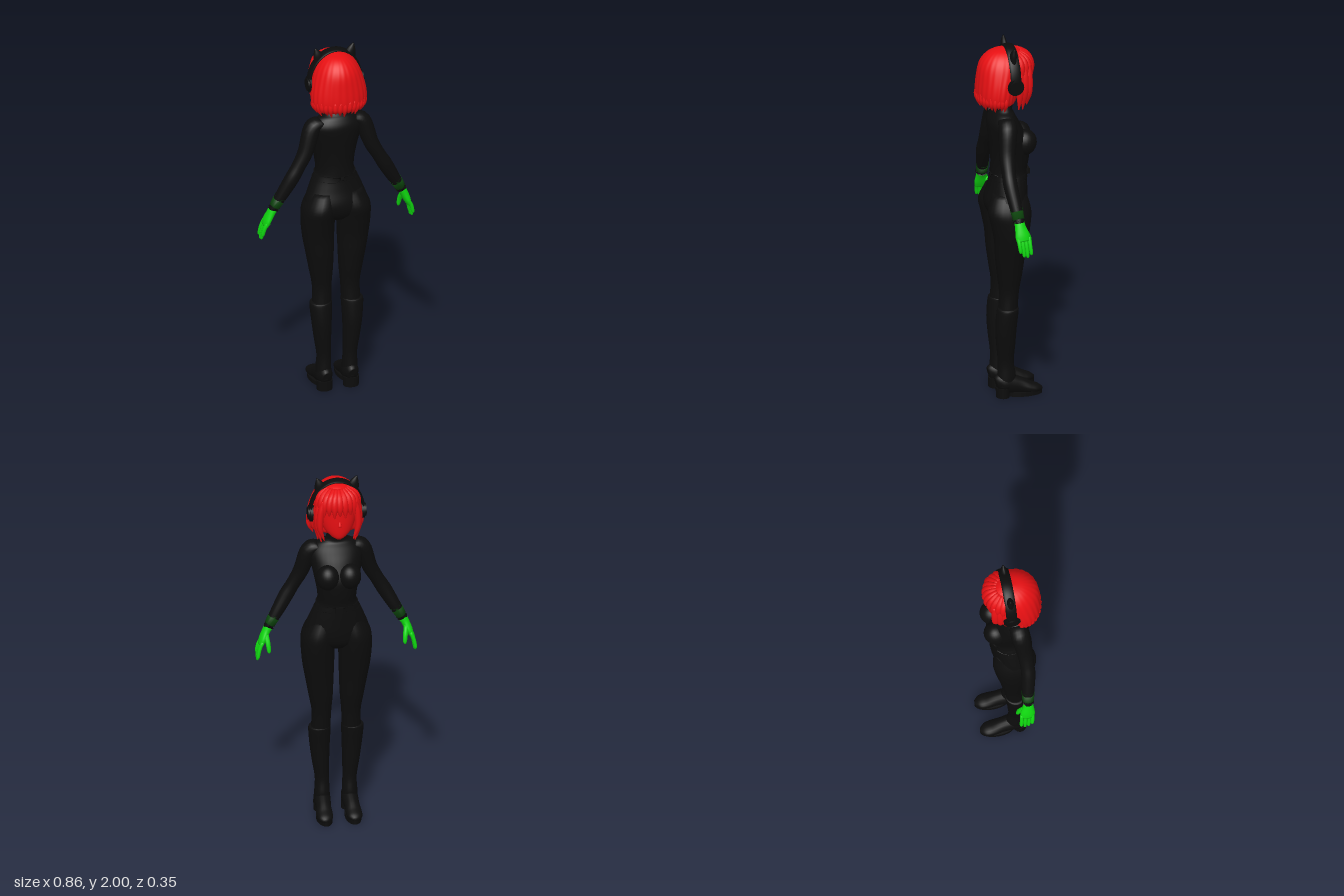
import * as THREE from 'three';

const mat = (name, color) => Object.assign(new THREE.MeshStandardMaterial({ color }), { name });

// Smooth closed skin through stations [x, y, z, radiusU, radiusV].
// ref is the direction of radiusV; flat keeps every ring horizontal; wave(angle, t) scales the ring.
function loft(stations, { seg = 20, steps = 5, ref = [0, 0, 1], flat = false, wave = () => 1 } = {}) {
  const curve = (f) => new THREE.CatmullRomCurve3(stations.map(f), false, 'catmullrom', 0.5);
  const centre = curve((s) => new THREE.Vector3(s[0], s[1], s[2]));
  const radius = curve((s) => new THREE.Vector3(s[3], s[4], 0));
  const rings = (stations.length - 1) * steps;
  const pos = [], idx = [];
  for (let i = 0; i <= rings; i++) {
    const t = i / rings;
    const c = centre.getPoint(t), r = radius.getPoint(t), tan = centre.getTangent(t);
    if (flat) tan.set(0, Math.sign(tan.y), 0);
    const v = new THREE.Vector3(...ref);
    v.addScaledVector(tan, -v.dot(tan)).normalize();
    const u = v.clone().cross(tan);
    for (let j = 0; j < seg; j++) {
      const a = (j / seg) * Math.PI * 2, w = wave(a, t);
      const p = c.clone()
        .addScaledVector(u, Math.cos(a) * w * Math.max(r.x, 0.001))
        .addScaledVector(v, Math.sin(a) * w * Math.max(r.y, 0.001));
      pos.push(p.x, p.y, p.z);
    }
  }
  for (let i = 0; i < rings; i++) {
    for (let j = 0; j < seg; j++) {
      const k = (j + 1) % seg, a = i * seg, b = a + seg;
      idx.push(a + j, a + k, b + k, a + j, b + k, b + j);
    }
  }
  // end caps
  const first = pos.length / 3, last = rings * seg;
  pos.push(...stations[0].slice(0, 3), ...stations.at(-1).slice(0, 3));
  for (let j = 0; j < seg; j++) {
    const k = (j + 1) % seg;
    idx.push(first, k, j, first + 1, last + j, last + k);
  }
  const g = new THREE.BufferGeometry();
  g.setAttribute('position', new THREE.Float32BufferAttribute(pos, 3));
  g.setIndex(idx);
  g.computeVertexNormals();
  return g;
}

export function createModel() {
  const black = mat('black suit', 0x0c0c0c);
  const red = mat('red', 0xe60f12);
  const green = mat('glove green', 0x0fd60f);
  const darkGreen = mat('cuff green', 0x0b420b);

  const model = new THREE.Group();
  model.name = 'figure';
  const add = (name, geometry, material, parent = model) => {
    const m = new THREE.Mesh(geometry, material);
    m.name = name;
    parent.add(m);
    return m;
  };
  const group = (name) => {
    const g = new THREE.Group();
    g.name = name;
    model.add(g);
    return g;
  };

  // Torso from crotch to neck
  add('torso', loft([
    [0, 1.0, 0.005, 0.09, 0.06], [0, 1.04, 0.008, 0.155, 0.098], [0, 1.1, 0.01, 0.172, 0.112],
    [0, 1.18, 0, 0.146, 0.104], [0, 1.24, -0.006, 0.12, 0.098], [0, 1.28, -0.008, 0.104, 0.097],
    [0, 1.34, -0.014, 0.107, 0.102], [0, 1.42, -0.012, 0.122, 0.106], [0, 1.5, 0.008, 0.137, 0.095],
    [0, 1.56, 0.024, 0.14, 0.08], [0, 1.605, 0.025, 0.105, 0.058], [0, 1.635, 0.016, 0.056, 0.042],
    [0, 1.73, -0.005, 0.046, 0.044],
  ], { flat: true, seg: 32 }), black);
  add('belt', loft([[0, 1.235, -0.006, 0.124, 0.101], [0, 1.265, -0.007, 0.113, 0.101]],
    { flat: true, seg: 32, steps: 1 }), black);
  add('buckle', new THREE.BoxGeometry(0.04, 0.032, 0.02), black).position.set(0, 1.255, -0.11);

  for (const s of [1, -1]) {
    const side = s > 0 ? 'left' : 'right';
    const mirror = (pts) => pts.map(([x, ...rest]) => [s * x, ...rest]);

    // Chest
    const chest = add(side + 'Chest', new THREE.SphereGeometry(1, 24, 16), black);
    chest.scale.set(0.062, 0.072, 0.065);
    chest.position.set(s * 0.058, 1.44, -0.08);
    chest.rotation.x = -0.25;

    // Leg, boot and foot
    const leg = group(side + 'Leg');
    add('thigh', loft(mirror([
      [0.072, 1.17, 0.008, 0.068, 0.09], [0.095, 1.08, 0.013, 0.088, 0.116], [0.1, 1.0, 0.008, 0.09, 0.107],
      [0.097, 0.9, 0.006, 0.085, 0.09], [0.09, 0.8, 0.01, 0.075, 0.079], [0.083, 0.7, 0.01, 0.064, 0.067],
      [0.079, 0.6, 0.012, 0.052, 0.053], [0.083, 0.48, 0.02, 0.052, 0.052],
    ]), { flat: true, seg: 24 }), black, leg);
    add('boot', loft(mirror([
      [0.083, 0.515, 0.018, 0.054, 0.053], [0.088, 0.5, 0.021, 0.06, 0.058], [0.086, 0.4, 0.03, 0.054, 0.057],
      [0.081, 0.3, 0.03, 0.046, 0.051], [0.074, 0.2, 0.028, 0.038, 0.043], [0.074, 0.12, 0.024, 0.041, 0.05],
      [0.074, 0.06, 0.03, 0.043, 0.05],
    ]), { flat: true, seg: 24 }), black, leg);
    add('foot', loft(mirror([
      [0.073, 0.07, 0.078, 0.025, 0.04], [0.073, 0.08, 0.045, 0.043, 0.055], [0.074, 0.07, 0, 0.043, 0.052],
      [0.076, 0.058, -0.05, 0.04, 0.042], [0.078, 0.042, -0.1, 0.043, 0.032], [0.079, 0.034, -0.14, 0.038, 0.023],
      [0.079, 0.028, -0.167, 0.016, 0.011],
    ]), { ref: [0, 1, 0] }), black, leg);
    const sole = add('sole', new THREE.CylinderGeometry(1, 1, 0.022, 28), black, leg);
    sole.scale.set(0.043, 1, 0.094);
    sole.position.set(s * 0.077, 0.014, -0.076);
    const heel = add('heel', new THREE.CylinderGeometry(1.05, 1, 0.055, 24), black, leg);
    heel.scale.set(0.042, 1, 0.036);
    heel.position.set(s * 0.074, 0.0275, 0.044);

    // Arm, cuff and glove
    const arm = group(side + 'Arm');
    add('sleeve', loft(mirror([
      [0.09, 1.585, 0.03, 0.025, 0.045], [0.14, 1.555, 0.035, 0.046, 0.05], [0.183, 1.43, 0.05, 0.041, 0.044],
      [0.225, 1.35, 0.055, 0.037, 0.038], [0.262, 1.285, 0.055, 0.039, 0.038], [0.31, 1.2, 0.045, 0.034, 0.034],
      [0.345, 1.14, 0.038, 0.027, 0.029], [0.363, 1.108, 0.035, 0.024, 0.026],
    ])), black, arm);
    add('cuff', loft(mirror([[0.322, 1.18, 0.042, 0.034, 0.035], [0.352, 1.128, 0.037, 0.028, 0.031]]),
      { steps: 2 }), darkGreen, arm);
    add('wristBand', loft(mirror([[0.35, 1.13, 0.037, 0.03, 0.033], [0.358, 1.116, 0.036, 0.029, 0.032]]),
      { steps: 1 }), black, arm);
    add('palm', loft(mirror([
      [0.359, 1.114, 0.035, 0.024, 0.027], [0.372, 1.09, 0.033, 0.022, 0.03],
      [0.39, 1.05, 0.027, 0.02, 0.039], [0.402, 1.02, 0.024, 0.015, 0.037],
    ])), green, arm);
    for (let i = 0; i < 4; i++) {
      const z = -0.006 + i * 0.0195, len = [0.078, 0.092, 0.087, 0.065][i];
      add('finger', loft(mirror([
        [0.396, 1.04, z, 0.01, 0.01], [0.412, 1.04 - len * 0.5, z - 0.003, 0.0105, 0.0105],
        [0.421, 1.035 - len, z - 0.007, 0.009, 0.009], [0.42, 1.027 - len, z - 0.008, 0.003, 0.003],
      ]), { seg: 10, steps: 3 }), green, arm);
    }
    add('thumb', loft(mirror([
      [0.375, 1.075, 0.012, 0.014, 0.014], [0.368, 1.035, -0.012, 0.013, 0.013],
      [0.364, 0.995, -0.022, 0.01, 0.01], [0.364, 0.982, -0.023, 0.003, 0.003],
    ]), { seg: 10, steps: 3 }), green, arm);

    // Headphone cup and pointed ear
    for (const [name, r, x, d] of [['earCushion', 0.045, 0.134, 0.026], ['earCup', 0.034, 0.149, 0.014]]) {
      const cup = add(name, new THREE.CylinderGeometry(r, r, d, 28), black);
      cup.rotation.z = Math.PI / 2;
      cup.position.set(s * x, 1.795, -0.008);
    }
    add(side + 'PointedEar', loft(mirror([
      [0.083, 1.925, -0.008, 0.036, 0.02], [0.095, 1.965, -0.009, 0.024, 0.016], [0.107, 1.998, -0.01, 0.004, 0.004],
    ]), { seg: 14 }), black);

    // Long locks beside the face
    for (const [x, z, tipX, tipY] of [[0.108, -0.06, 0.09, 1.645], [0.098, -0.085, 0.078, 1.665], [0.112, -0.035, 0.105, 1.65]]) {
      add('sideLock', loft(mirror([
        [x * 0.85, 1.9, z, 0.012, 0.02], [x, 1.83, z - 0.004, 0.018, 0.024],
        [x + 0.003, 1.74, z - 0.004, 0.016, 0.02], [tipX, tipY, z, 0.003, 0.003],
      ]), { seg: 10 }), red);
    }
  }

  // Face
  add('head', loft([
    [0, 1.672, -0.075, 0.018, 0.025], [0, 1.69, -0.065, 0.046, 0.048], [0, 1.73, -0.045, 0.08, 0.074],
    [0, 1.8, -0.03, 0.1, 0.09], [0, 1.88, -0.02, 0.1, 0.095], [0, 1.94, -0.01, 0.06, 0.06],
  ], { flat: true, seg: 28 }), red);
  add('nose', loft([[0, 1.785, -0.116, 0.005, 0.005], [0, 1.762, -0.122, 0.009, 0.01], [0, 1.753, -0.118, 0.003, 0.003]],
    { flat: true, seg: 10 }), red);

  // Bobbed hair with ridged strands
  add('bob', loft([
    [0, 1.675, 0.06, 0.118, 0.088], [0, 1.69, 0.062, 0.14, 0.1], [0, 1.73, 0.062, 0.151, 0.107],
    [0, 1.8, 0.05, 0.145, 0.115], [0, 1.88, 0.028, 0.123, 0.126], [0, 1.93, 0.018, 0.094, 0.108],
    [0, 1.96, 0.014, 0.055, 0.07], [0, 1.972, 0.012, 0.01, 0.012],
  ], { flat: true, seg: 120, wave: (a, t) => 1 + 0.02 * (1 - t) * Math.cos(24 * a) }), red);
  for (let i = 0; i < 19; i++) {
    const a = -0.15 + (i / 18) * (Math.PI + 0.3), c = Math.cos(a), d = Math.sin(a);
    const at = (k, y, r) => [c * 0.15 * k, y, 0.06 + d * 0.108 * k, r, r];
    add('hairTip', loft([at(0.92, 1.74, 0.01), at(0.93, 1.7, 0.014), at(0.8, 1.652 + 0.008 * (i % 3), 0.002)],
      { seg: 8, steps: 4 }), red);
  }

  // Fringe locks around the brow
  for (let i = 0; i < 11; i++) {
    const a = (i / 10 - 0.5) * 2.5, c = Math.cos(a), d = Math.sin(a);
    const at = (k, y, r) => [d * 0.112 * k, y, -0.015 - c * 0.112 * k, r, r];
    add('fringeLock', loft([at(0.45, 1.95, 0.012), at(0.85, 1.918, 0.019), at(1, 1.87, 0.019),
      at(1.06, 1.812 + 0.012 * (i % 2), 0.003)], { seg: 10, steps: 4 }), red);
  }

  // Headband arching over the hair
  const band = [];
  for (let i = 0; i <= 12; i++) {
    const a = (i / 12) * Math.PI;
    band.push([Math.cos(a) * 0.143, 1.8 + Math.sin(a) * 0.178, -0.01, 0.008, 0.029]);
  }
  add('headband', loft(band, { seg: 16, steps: 3 }), black);

  return model;
}
